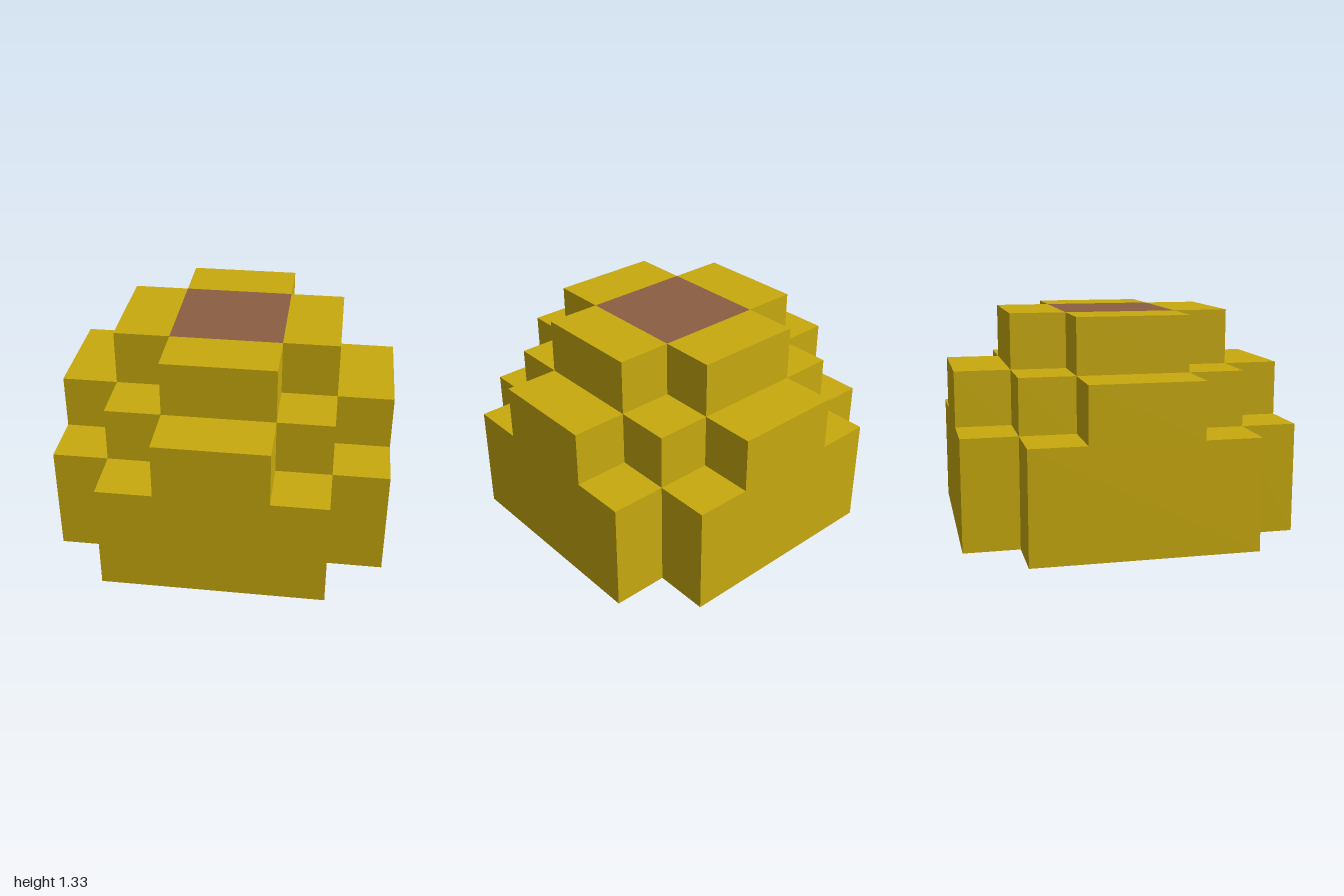
import * as THREE from 'three';

const U = 1 / 3; // one block

// Turn one quarter of a stepped outline through four right angles
function steppedShape(quarter) {
  const points = [];
  let turn = quarter;
  for (let i = 0; i < 4; i++) {
    points.push(...turn.map(([x, y]) => new THREE.Vector2(x * U, y * U)));
    turn = turn.map(([x, y]) => [-y, x]);
  }
  return new THREE.Shape(points);
}

export function createModel() {
  const group = new THREE.Group();
  const yellow = new THREE.MeshStandardMaterial({ color: 0xc8aa0e });
  yellow.name = 'mustardYellow';
  const brown = new THREE.MeshStandardMaterial({ color: 0x8b5e42 });
  brown.name = 'brown';

  // Extrude an outline upwards from a given level
  function addLayer(name, shape, bottom, height) {
    const geometry = new THREE.ExtrudeGeometry(shape, { depth: height * U, bevelEnabled: false });
    geometry.rotateX(-Math.PI / 2);
    const mesh = new THREE.Mesh(geometry, yellow);
    mesh.name = name;
    mesh.position.y = bottom * U;
    group.add(mesh);
  }

  // Three stacked tiers
  addLayer('lowerTier', steppedShape([[3, 2], [2, 2], [2, 3]]), 0, 2);
  addLayer('middleTier', steppedShape([[3, 1], [2, 1], [2, 2], [1, 2], [1, 3]]), 2, 1);
  const upper = steppedShape([[2, 1], [1, 1], [1, 2]]);
  upper.holes.push(steppedShape([[1, 1]])); // opening for the centre patch
  addLayer('upperTier', upper, 3, 1);

  // Brown square set flush into the top
  const patch = new THREE.Mesh(new THREE.PlaneGeometry(2 * U, 2 * U).rotateX(-Math.PI / 2), brown);
  patch.name = 'topPatch';
  patch.position.y = 4 * U;
  group.add(patch);

  return group;
}
